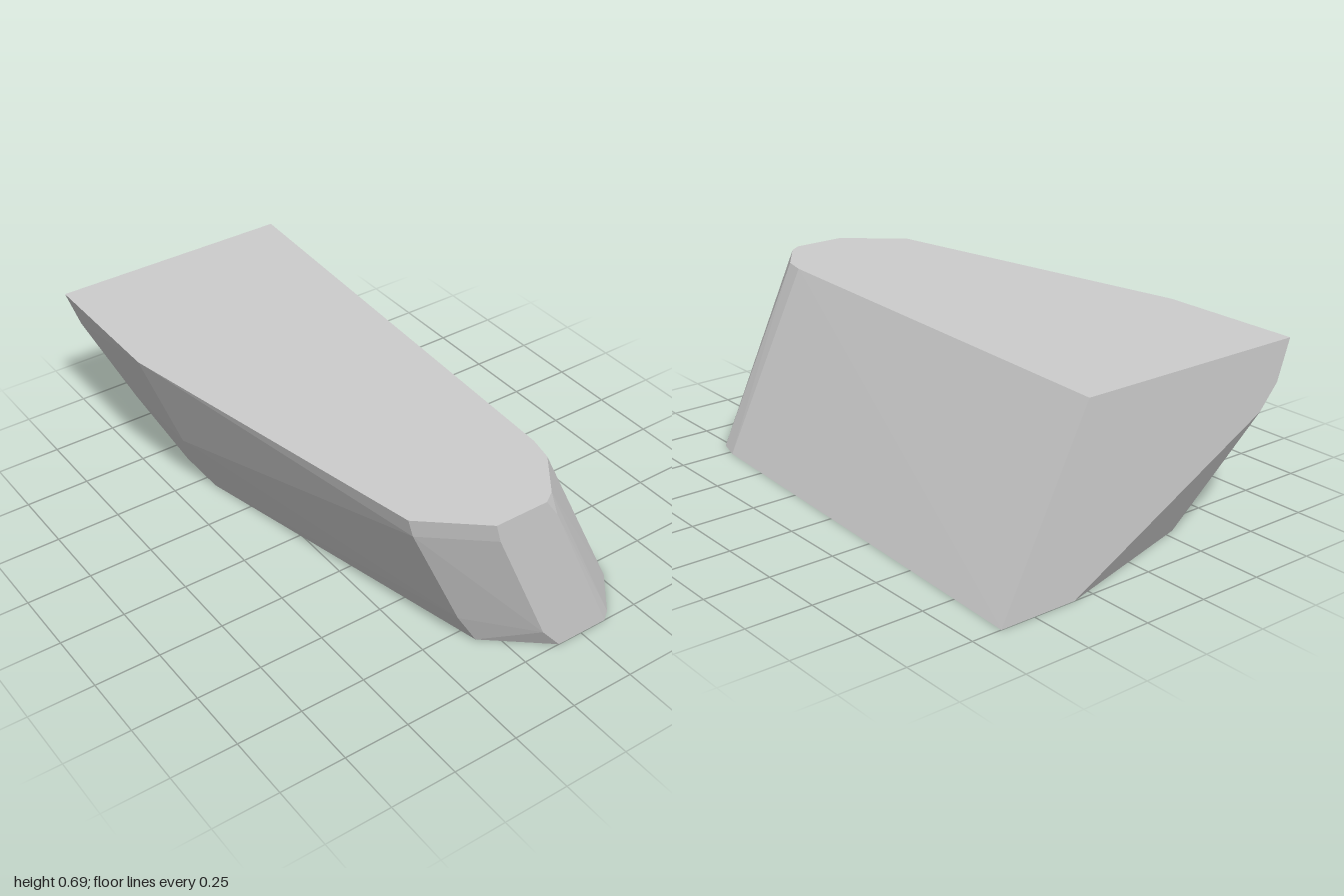
import * as THREE from 'three';
import { ConvexGeometry } from 'three/addons/geometries/ConvexGeometry.js';

const TOP = 0.685;

// Outline at one height, as [x, z] pairs
const ring = (y, pts) => pts.map(([x, z]) => new THREE.Vector3(x, y, z));

export function createModel() {
  const group = new THREE.Group();
  group.name = 'slantedBlock';
  const grey = new THREE.MeshStandardMaterial({ color: 0xcccccc, flatShading: true });
  grey.name = 'light grey';

  const points = [
    // Flat top
    ...ring(TOP, [[-0.635, -1], [0.29, -1], [0.21, 0.73], [0.19, 0.82], [0.08, 0.97],
      [0.035, 1], [-0.17, 1], [-0.38, 0.82], [-0.635, -0.44]]),
    // Shoulder just below the top
    ...ring(0.61, [[0.085, 1], [-0.15, 1], [-0.36, 0.82]]),
    // Rounded rear corner
    ...ring(0.535, [[-0.583, -1]]),
    ...ring(0.445, [[-0.505, -1]]),
    // Bulge of the overhanging side
    ...ring(0.27, [[-0.48, -0.8], [-0.48, -0.44]]),
    // Toe just above the base
    ...ring(0.14, [[-0.15, 0.81]]),
    ...ring(0.1, [[0.07, 1]]),
    // Flat base, shifted sideways, with its rear corner cut off
    ...ring(0, [[0.635, -1], [0.545, 0.73], [0.52, 0.82], [0.4, 0.97], [0.36, 1], [0.15, 1],
      [-0.07, 0.815], [-0.355, -0.44], [-0.355, -0.65], [-0.335, -0.77], [-0.29, -0.825], [0.33, -1]]),
  ];

  const block = new THREE.Mesh(new ConvexGeometry(points), grey);
  block.name = 'block';
  group.add(block);
  return group;
}
